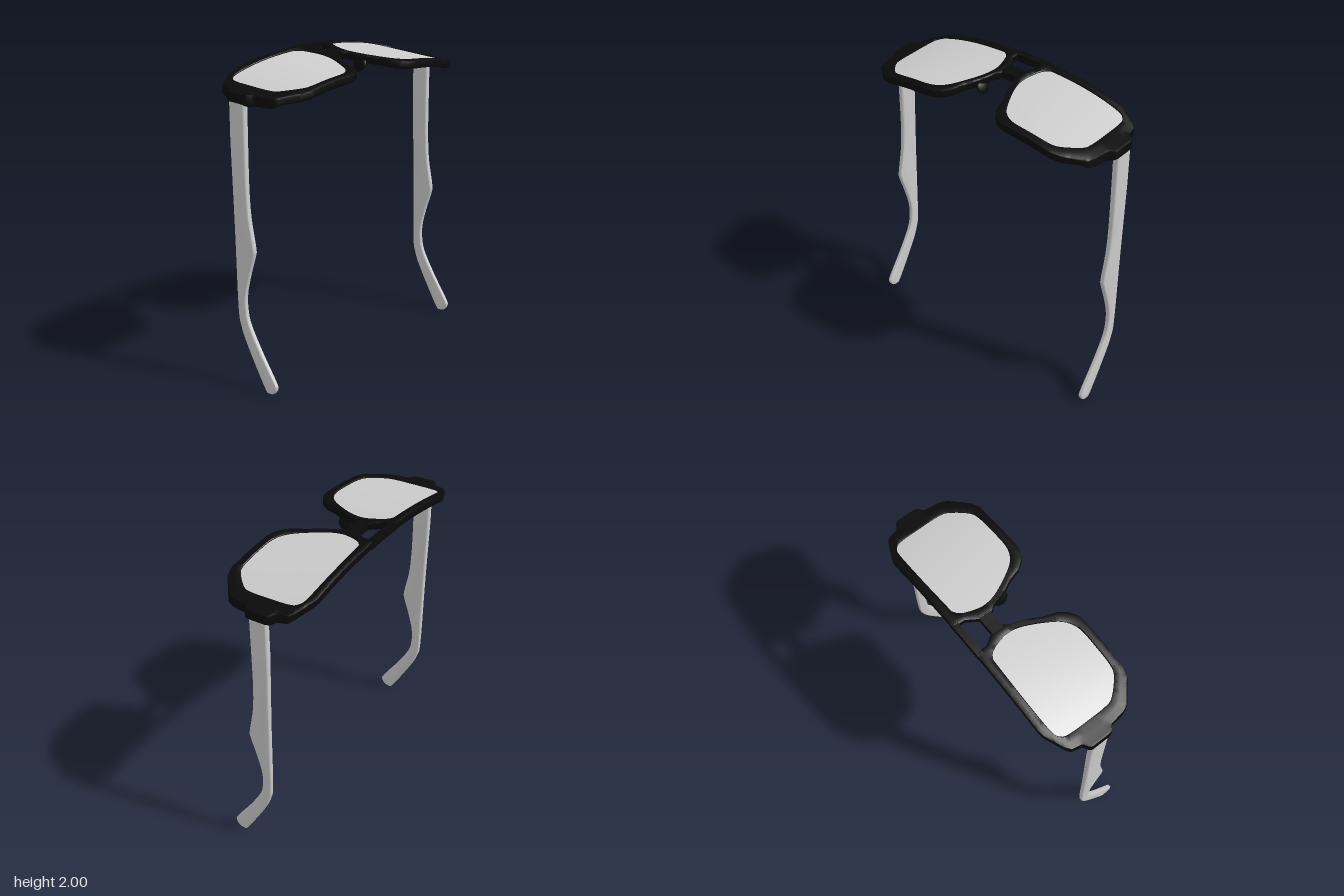
import * as THREE from 'three';
import { toCreasedNormals } from 'three/addons/utils/BufferGeometryUtils.js';

const black = new THREE.MeshStandardMaterial({ color: 0x0a0a0a });
black.name = 'black';
const paleGrey = new THREE.MeshStandardMaterial({ color: 0xcccccc });
paleGrey.name = 'pale grey';

const CENTRE = [0.45, -0.03];
const v2 = (list) => list.map(([x, z]) => new THREE.Vector2(x, z));

// Outlines of one side as [x, z]
const LENS = [
  [0.19, -0.262], [0.45, -0.268], [0.69, -0.262], [0.75, -0.24], [0.772, -0.19], [0.776, -0.05],
  [0.774, 0.08], [0.755, 0.145], [0.67, 0.235], [0.605, 0.26], [0.47, 0.264], [0.34, 0.26],
  [0.26, 0.225], [0.2, 0.15], [0.13, 0.01], [0.11, -0.085], [0.122, -0.16], [0.15, -0.23],
];
const RIM = [
  [0.1, -0.32], [0.66, -0.32], [0.7, -0.313], [0.82, -0.255], [0.848, -0.23], [0.862, -0.16],
  [0.9, -0.14], [0.91, -0.125], [0.91, 0.01], [0.9, 0.03], [0.872, 0.045], [0.858, 0.15],
  [0.84, 0.195], [0.72, 0.295], [0.66, 0.317], [0.31, 0.317], [0.26, 0.307], [0.215, 0.277],
  [0.175, 0.225], [0.15, 0.14], [0.118, 0.08], [0.092, 0.01], [0.078, -0.04], [0.05, -0.078],
  [0.05, -0.165], [0.062, -0.18], [0.1, -0.24],
];

// Height of the bowed, tilted front face
function faceHeight(x, z) {
  const a = Math.min(Math.abs(x), 0.84);
  return 2 - 0.15 * a * a - 0.05 * a ** 4 - (z + 0.32) * (0.14 - 0.09 * a);
}

// The frame deepens towards the hinges
function thickness(x) {
  return 0.05 + 0.022 * THREE.MathUtils.smoothstep(Math.abs(x), 0.8, 0.88);
}

// Distance from the lens centre to an outline along an angle
function reach(outline, angle) {
  const dx = Math.cos(angle), dz = Math.sin(angle);
  let best = 0;
  outline.forEach((p, i) => {
    const q = outline[(i + 1) % outline.length];
    const px = p.x - CENTRE[0], pz = p.y - CENTRE[1];
    const ex = q.x - p.x, ez = q.y - p.y;
    const det = dx * ez - dz * ex;
    if (Math.abs(det) < 1e-9) return;
    const r = (px * ez - pz * ex) / det;
    const t = (px * dz - pz * dx) / det;
    if (t >= -1e-6 && t <= 1 + 1e-6 && r > best) best = r;
  });
  return best;
}

// Sweep a section of [radial fraction, depth(x)] points around the lens centre
function sweep(inner, outer, section, side) {
  const N = 200, M = section.length, pos = [], idx = [];
  for (let i = 0; i < N; i++) {
    const a = (i / N) * Math.PI * 2;
    const r0 = inner ? reach(inner, a) : 0, r1 = reach(outer, a);
    for (const [t, depth] of section) {
      const r = r0 + (r1 - r0) * t;
      const x = CENTRE[0] + r * Math.cos(a), z = CENTRE[1] + r * Math.sin(a);
      pos.push(side * x, faceHeight(x, z) - depth(x), z);
    }
    for (let j = 0; j < M; j++) {
      const k = (j + 1) % M, n = (i + 1) % N;
      const p = i * M + j, pj = i * M + k, q = n * M + j, qj = n * M + k;
      if (side > 0) idx.push(p, pj, q, pj, qj, q);
      else idx.push(p, q, pj, pj, q, qj);
    }
  }
  const g = new THREE.BufferGeometry();
  g.setAttribute('position', new THREE.Float32BufferAttribute(pos, 3));
  g.setIndex(idx);
  return toCreasedNormals(g, 0.7);
}

// Bar across the middle, bent to follow the front face
function bar(width, z0, z1) {
  const g = new THREE.BoxGeometry(width, 0.05, z1 - z0, 16, 1, 2);
  g.translate(0, -0.025, (z0 + z1) / 2);
  const p = g.attributes.position;
  for (let i = 0; i < p.count; i++) {
    p.setY(i, p.getY(i) + faceHeight(p.getX(i), p.getZ(i)));
  }
  return toCreasedNormals(g, 0.6);
}

// Temple arm: side profile as [z, y], rounded edges, thinner at the tip
function templeGeometry() {
  const shape = new THREE.Shape();
  shape.moveTo(-0.12, 1.82);
  shape.lineTo(-0.12, 1.55);
  shape.splineThru(v2([
    [-0.105, 1.02], [-0.095, 0.52], [-0.075, 0.39], [-0.02, 0.265], [0.117, 0.027], [0.152, 0.002],
    [0.19, 0.01], [0.212, 0.045], [0.198, 0.087], [0.085, 0.255], [-0.005, 0.41], [-0.03, 0.515],
    [-0.026, 0.62], [0.01, 0.755], [0.046, 0.865], [0.049, 0.92], [0.015, 1.1], [0.002, 1.28],
    [0, 1.5],
  ]));
  shape.lineTo(0, 1.82);
  const g = new THREE.ExtrudeGeometry(shape, {
    depth: 0.02, curveSegments: 5, bevelEnabled: true, bevelThickness: 0.012,
    bevelSize: 0.012, bevelOffset: -0.012, bevelSegments: 4,
  });
  g.translate(0, 0, -0.01);
  g.rotateY(-Math.PI / 2);
  const p = g.attributes.position;
  for (let i = 0; i < p.count; i++) {
    p.setX(i, p.getX(i) * (0.66 + 0.3 * Math.min(1, p.getY(i) / 1.8)));
  }
  return toCreasedNormals(g, 0.6);
}

export function createModel() {
  const model = new THREE.Group();
  model.name = 'glasses';
  const add = (name, geometry, material) => {
    const mesh = new THREE.Mesh(geometry, material);
    mesh.name = name;
    model.add(mesh);
    return mesh;
  };

  const rimOutline = v2(RIM);
  const lensOutline = new THREE.SplineCurve(v2([...LENS, LENS[0]])).getPoints(90).slice(0, -1);

  // Cross-sections, inner bottom round to inner top
  const under = (x) => thickness(x);
  const rimSection = [
    [0, (x) => thickness(x) - 0.005], [0.08, under], [0.5, under], [0.9, under],
    [1, (x) => thickness(x) - 0.01], [1, () => 0.01], [0.97, () => 0.003], [0.88, () => 0],
    [0.5, () => 0], [0.08, () => 0], [0, () => 0.004],
  ];
  const steps = [0, 0.2, 0.4, 0.6, 0.8, 1.01];
  const lensSection = [
    ...steps.map((t) => [t, () => 0.018]),
    ...steps.slice().reverse().map((t) => [t, () => 0.008]),
  ];

  for (const side of [1, -1]) {
    const label = side > 0 ? 'left' : 'right';
    add(label + 'Rim', sweep(lensOutline, rimOutline, rimSection, side), black);
    add(label + 'Lens', sweep(null, lensOutline, lensSection, side), paleGrey);

    // Nose pad leaning towards the middle
    const pad = add(label + 'NosePad', new THREE.SphereGeometry(1, 24, 16), black);
    pad.scale.set(0.018, 0.05, 0.05);
    pad.position.set(side * 0.11, 1.89, 0.03);
    pad.rotation.z = -side * 0.4;

    const temple = add(label + 'Temple', templeGeometry(), paleGrey);
    temple.position.x = side * 0.888;
  }

  // Double bridge
  add('browBar', bar(0.26, -0.32, -0.278), black);
  add('noseBridge', bar(0.13, -0.165, -0.085), black);
  return model;
}
